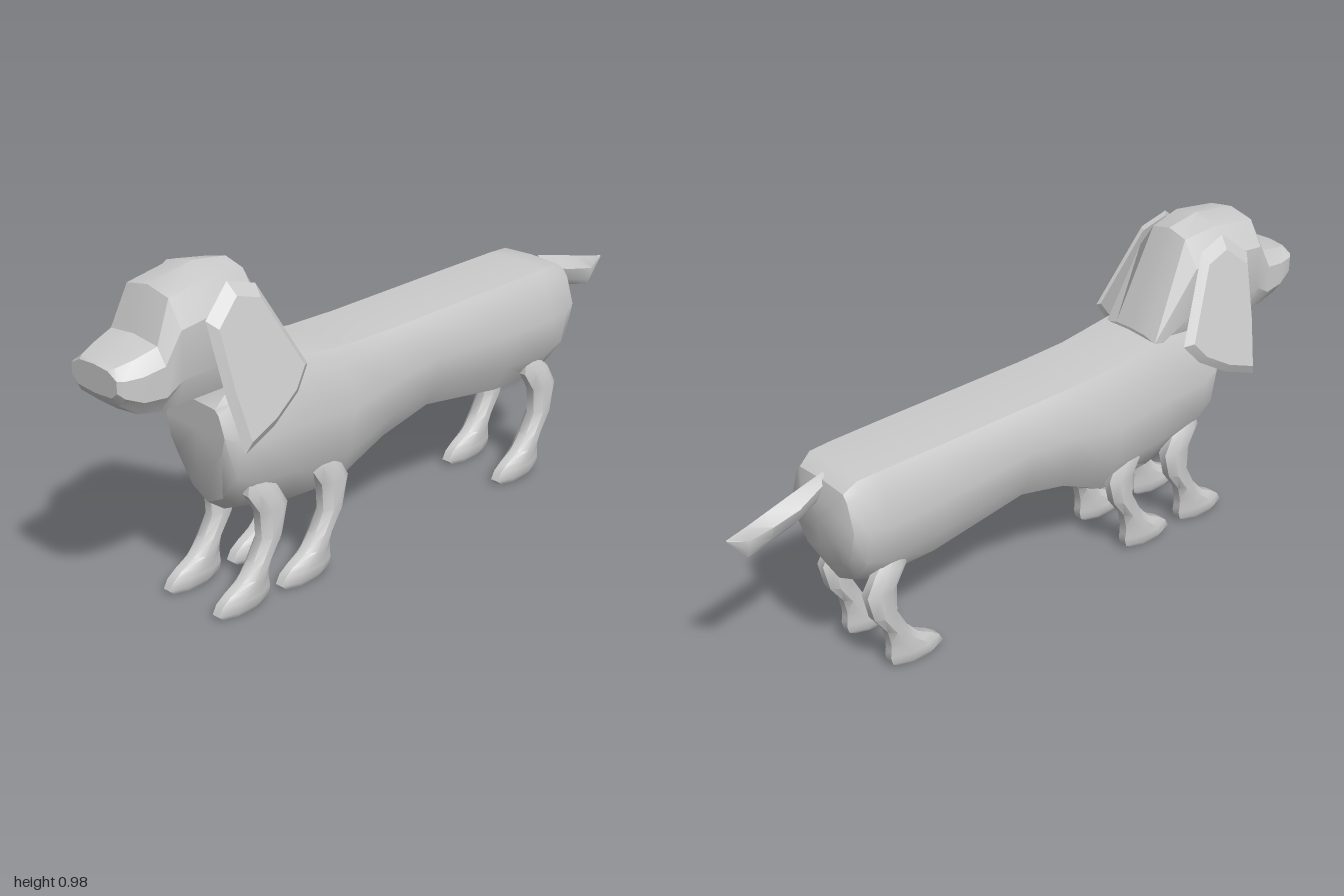
import * as THREE from 'three';
import { toCreasedNormals } from 'three/addons/utils/BufferGeometryUtils.js';

const material = new THREE.MeshStandardMaterial({ color: 0xcccccc });

// Skin a list of closed rings ([x, y, z] points) and cap both ends; winding is corrected by volume.
function loft(name, rings, crease = 0.6) {
  const n = rings[0].length, pos = rings.flat(2), idx = [];
  for (let r = 0; r < rings.length - 1; r++) {
    for (let i = 0; i < n; i++) {
      const a = r * n + i, b = r * n + (i + 1) % n;
      idx.push(a, b, b + n, a, b + n, a + n);
    }
  }
  const cap = (r, flip) => {
    const c = pos.length / 3, o = r * n;
    for (let k = 0; k < 3; k++) pos.push(rings[r].reduce((s, p) => s + p[k], 0) / n);
    for (let i = 0; i < n; i++) {
      const a = o + i, b = o + (i + 1) % n;
      idx.push(c, flip ? b : a, flip ? a : b);
    }
  };
  cap(0, true);
  cap(rings.length - 1, false);
  const v = i => new THREE.Vector3().fromArray(pos, i * 3);
  let volume = 0;
  for (let i = 0; i < idx.length; i += 3) volume += v(idx[i]).dot(v(idx[i + 1]).cross(v(idx[i + 2])));
  if (volume < 0) idx.reverse();
  const geo = new THREE.BufferGeometry();
  geo.setAttribute('position', new THREE.Float32BufferAttribute(pos, 3));
  geo.setIndex(idx);
  const mesh = new THREE.Mesh(toCreasedNormals(geo, crease), material);
  mesh.name = name;
  return mesh;
}

// Complete a right-left symmetric ring from half of it (first and last points lie on the centre line).
const mirrored = (half, z, cx = 0) => [
  ...half.map(([x, y]) => [cx + x, y, z]),
  ...half.slice(1, -1).reverse().map(([x, y]) => [cx - x, y, z]),
];

// z, top, bottom, half width, belly half width
const BODY = [
  [0.69, 0.60, 0.41, 0.115, 0.07], [0.655, 0.65, 0.29, 0.135, 0.06], [0.60, 0.66, 0.25, 0.147, 0.06],
  [0.44, 0.68, 0.21, 0.152, 0.065], [0.25, 0.655, 0.20, 0.152, 0.07], [0.08, 0.65, 0.29, 0.152, 0.09],
  [-0.09, 0.65, 0.335, 0.152, 0.10], [-0.40, 0.65, 0.28, 0.152, 0.09], [-0.59, 0.65, 0.262, 0.15, 0.07],
  [-0.66, 0.648, 0.29, 0.147, 0.07], [-0.70, 0.62, 0.355, 0.135, 0.08], [-0.717, 0.57, 0.42, 0.095, 0.05],
];
function bodyRing([z, top, bot, w, belly]) {
  const h = top - bot;
  return mirrored([
    [0, top], [0.7 * w, top - 0.005], [0.82 * w, top - 0.1 * h], [w, bot + 0.6 * h],
    [0.87 * w, bot + 0.3 * h], [belly, bot + 0.03], [0, bot],
  ], z, 0.0075);
}

// z, top, bottom, half width, top half width
const HEAD = [
  [0.415, 0.685, 0.63, 0.10, 0.06], [0.56, 0.96, 0.63, 0.115, 0.065], [0.67, 0.977, 0.63, 0.125, 0.08],
  [0.82, 0.952, 0.632, 0.125, 0.08], [0.87, 0.835, 0.638, 0.12, 0.09], [0.935, 0.815, 0.652, 0.112, 0.08],
  [0.985, 0.80, 0.69, 0.10, 0.065], [1.0, 0.793, 0.715, 0.088, 0.055],
];
function headRing([z, top, bot, w, tw]) {
  const h = top - bot;
  return mirrored([
    [0, top], [tw, top - 0.05 * h], [w, bot + 0.72 * h], [w, bot + 0.3 * h], [0.75 * w, bot + 0.06 * h], [0, bot],
  ], z);
}

// Hanging ear: a bevelled slab that leans outward towards its tip.
const EAR = [
  [0.75, 0.87], [0.66, 0.947], [0.57, 0.92], [0.51, 0.80], [0.45, 0.68],
  [0.50, 0.62], [0.60, 0.56], [0.71, 0.52], [0.735, 0.68],
];
function ear(name, side) {
  const ring = (inset, dx) => EAR.map(([z, y]) => {
    const yy = 0.73 + (y - 0.73) * inset;
    return [side * (0.11 + (0.95 - yy) * 0.255 + dx), yy, 0.61 + (z - 0.61) * inset];
  });
  return loft(name, [ring(0.93, -0.003), ring(1, 0.004), ring(0.84, 0.024)], 0.4);
}

// y, back z, front z, half width
const LEG = [
  [0.37, 0.55, 0.605, 0.014], [0.33, 0.51, 0.615, 0.026], [0.27, 0.477, 0.577, 0.032], [0.19, 0.497, 0.573, 0.032],
  [0.13, 0.54, 0.605, 0.032], [0.085, 0.55, 0.645, 0.032], [0.06, 0.55, 0.69, 0.032],
  [0.04, 0.547, 0.718, 0.032], [0.015, 0.553, 0.732, 0.032], [0, 0.575, 0.715, 0.024],
];
function leg(name, x, dz) {
  const mesh = loft(name, LEG.map(([y, back, front, w]) => {
    const mid = (back + front) / 2, r = (front - back) / 2;
    return Array.from({ length: 8 }, (_, i) => {
      const a = (i + 0.5) * Math.PI / 4, k = 1 / Math.cos(Math.PI / 8);
      return [w * k * Math.cos(a), y, mid + r * k * Math.sin(a)];
    });
  }), 0.75);
  mesh.position.set(x, 0, dz);
  return mesh;
}

// z, top, bottom, half width
const TAIL = [
  [-0.69, 0.638, 0.57, 0.012], [-0.79, 0.612, 0.518, 0.03], [-0.87, 0.59, 0.495, 0.024],
  [-0.94, 0.571, 0.478, 0.013], [-1.0, 0.557, 0.55, 0.002],
];

export function createModel() {
  const model = new THREE.Group();
  model.name = 'dog';
  model.add(loft('body', BODY.map(bodyRing)), loft('head', HEAD.map(headRing), 0.45));
  model.add(ear('leftEar', 1), ear('rightEar', -1));

  // Three identical pairs of legs
  for (const [pair, dz] of [['front', 0], ['middle', -0.23], ['rear', -1.125]]) {
    model.add(leg(pair + 'LeftLeg', 0.112, dz), leg(pair + 'RightLeg', -0.088, dz));
  }

  // Tail with a keeled, diamond-like section
  model.add(loft('tail', TAIL.map(([z, top, bot, w]) => mirrored(
    [[0, top], [w, bot + 0.6 * (top - bot)], [0.6 * w, bot + 0.2 * (top - bot)], [0, bot]], z, 0.01))));
  return model;
}
